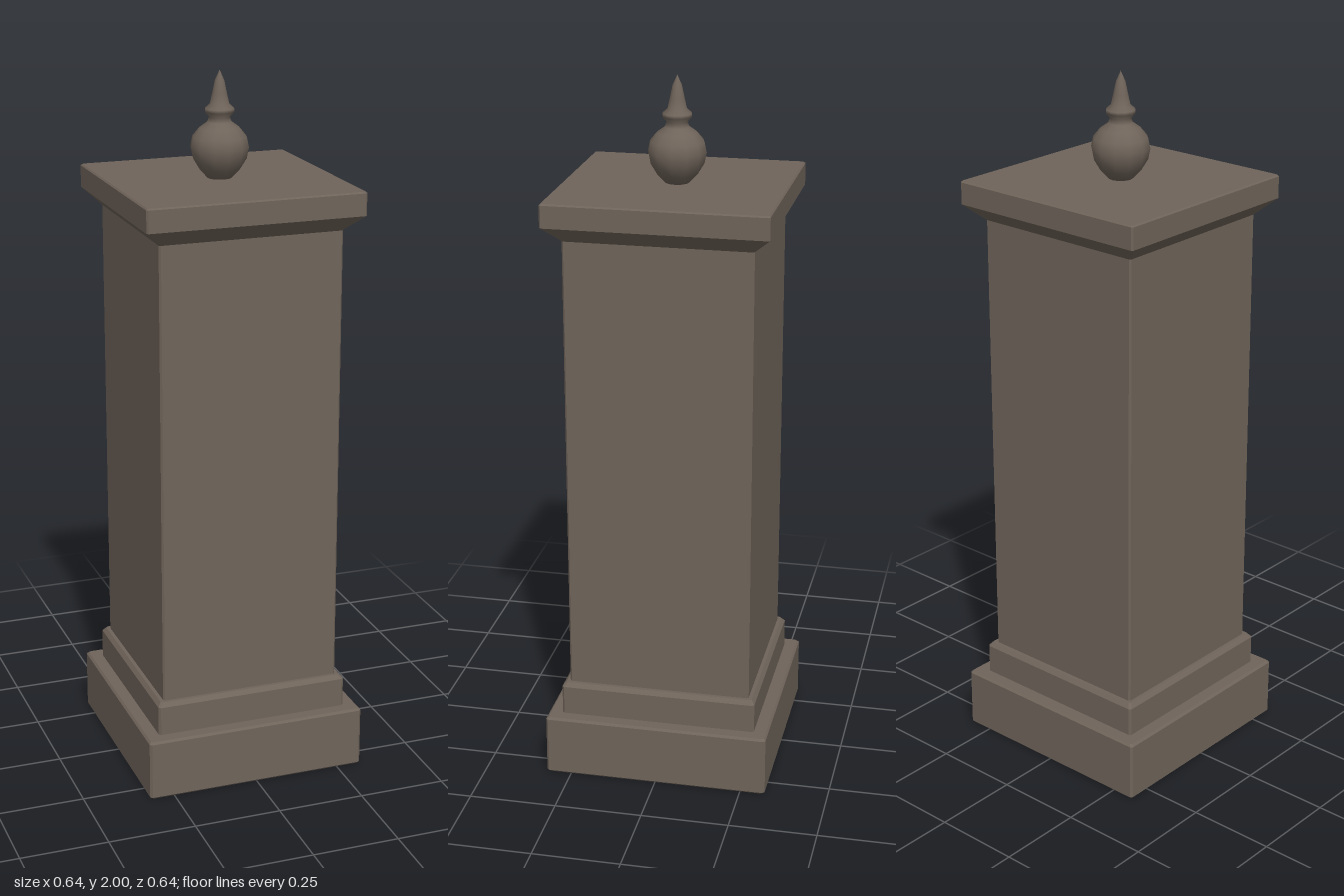
import * as THREE from 'three';

const stone = new THREE.MeshStandardMaterial({ color: 0x6f645a });
stone.name = 'stone';
const stoneFlat = stone;

// Square section with clipped corners, lofted through [halfWidth, y] levels
function squareLoft(name, levels, chamfer) {
  const rings = levels.map(([h, y]) => {
    const k = h - chamfer;
    return [[h, -k], [h, k], [k, h], [-k, h], [-h, k], [-h, -k], [-k, -h], [k, -h]]
      .map(([x, z]) => [x, y, z]);
  });
  const pos = [];
  const tri = (...points) => points.forEach((p) => pos.push(...p));
  for (let r = 0; r < rings.length - 1; r++) {
    for (let i = 0; i < 8; i++) {
      const j = (i + 1) % 8;
      const [a, b] = [rings[r], rings[r + 1]];
      tri(a[i], b[i], b[j]);
      tri(a[i], b[j], a[j]);
    }
  }
  // End faces
  const bottom = rings[0], top = rings[rings.length - 1];
  for (let i = 1; i < 7; i++) {
    tri(bottom[0], bottom[i], bottom[i + 1]);
    tri(top[0], top[i + 1], top[i]);
  }
  const geometry = new THREE.BufferGeometry();
  geometry.setAttribute('position', new THREE.Float32BufferAttribute(pos, 3));
  geometry.computeVertexNormals(); // unshared corners keep the faces flat
  const mesh = new THREE.Mesh(geometry, stoneFlat);
  mesh.name = name;
  return mesh;
}

export function createModel() {
  const group = new THREE.Group();
  group.name = 'gatePillar';

  // Stepped base, plain shaft and flared cap
  group.add(
    squareLoft('plinth', [[0.316, 0], [0.322, 0.006], [0.322, 0.172], [0.316, 0.178]], 0.006),
    squareLoft('baseStep', [[0.282, 0.176], [0.282, 0.262], [0.272, 0.274]], 0.006),
    squareLoft('shaft', [[0.262, 0.27], [0.262, 1.595]], 0.005),
    squareLoft('cap', [[0.262, 1.592], [0.306, 1.634], [0.31, 1.638], [0.31, 1.7], [0.306, 1.704]], 0.005),
  );

  // Turned finial: ball, neck, collar and spike
  const profile = [
    [0, 1.702], [0.034, 1.704], [0.058, 1.73], [0.076, 1.76], [0.082, 1.79],
    [0.076, 1.818], [0.056, 1.842], [0.034, 1.858], [0.029, 1.872],
    [0.041, 1.886], [0.041, 1.895], [0.027, 1.908], [0.021, 1.935],
    [0.013, 1.972], [0, 2],
  ].map(([r, y]) => new THREE.Vector2(r, y));
  const finial = new THREE.Mesh(new THREE.LatheGeometry(profile, 12), stone);
  finial.name = 'finial';
  group.add(finial);

  return group;
}
